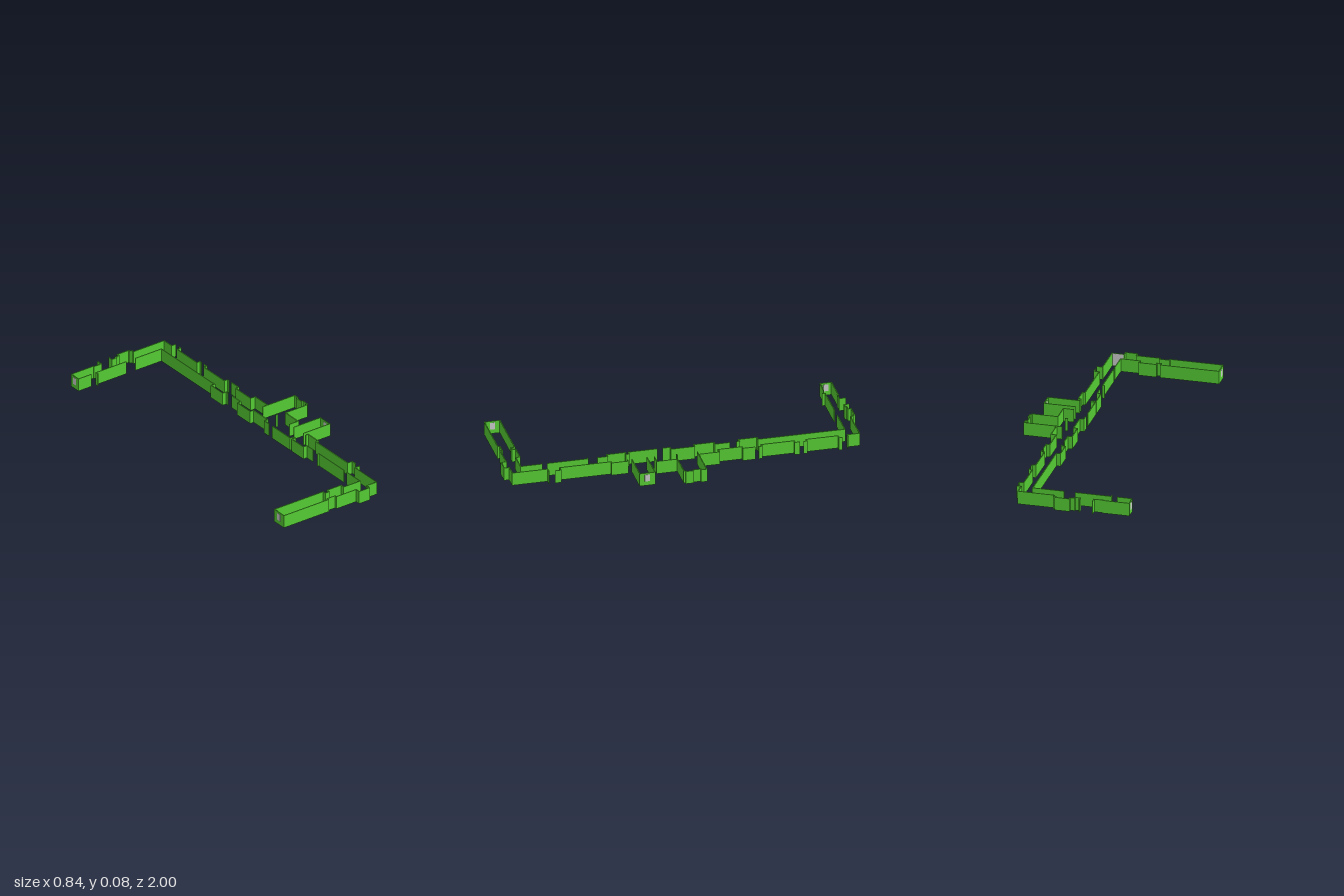
import * as THREE from 'three';
import { mergeGeometries } from 'three/addons/utils/BufferGeometryUtils.js';

const H = 0.075; // wall height
const T = 0.005; // wall thickness

// Upright slab that follows a plan path of [x, z] corners
function wall(name, path, material) {
  const slabs = [];
  for (let i = 1; i < path.length; i++) {
    const [x0, z0] = path[i - 1], [x1, z1] = path[i];
    const slab = new THREE.BoxGeometry(Math.abs(x1 - x0) + T, H, Math.abs(z1 - z0) + T);
    slab.translate((x0 + x1) / 2, H / 2, (z0 + z1) / 2);
    slabs.push(slab);
  }
  const mesh = new THREE.Mesh(mergeGeometries(slabs), material);
  mesh.name = name;
  return mesh;
}

export function createModel() {
  const group = new THREE.Group();
  group.name = 'corridorWalls';
  const green = new THREE.MeshStandardMaterial({ color: 0x55cc33 });
  const grey = new THREE.MeshStandardMaterial({ color: 0xcccccc });

  // Wall runs, broken at the door openings
  const runs = {
    // back wing
    backWingEnd: [[-0.22, -0.9975], [-0.22, -0.965], [-0.27, -0.965], [-0.27, -0.97], [-0.418, -0.97],
      [-0.418, -0.905], [-0.335, -0.905]],
    backWingInner: [[-0.3, -0.89], [-0.3, -0.905], [-0.1, -0.905]],
    backWingOuter: [[0.23, -0.9], [0.205, -0.9], [0.205, -0.97], [0, -0.97], [0, -0.985], [-0.012, -0.985],
      [-0.012, -0.9975], [-0.09, -0.9975], [-0.09, -0.98], [-0.115, -0.98], [-0.115, -0.97],
      [-0.145, -0.97], [-0.145, -0.9975]],
    // long corridor, inner side
    innerWallBack: [[-0.035, -0.905], [0.14, -0.905], [0.14, -0.42], [0.117, -0.42], [0.117, -0.315],
      [0.14, -0.315], [0.14, -0.3]],
    innerWallMiddle: [[0.14, -0.26], [0.14, -0.18], [0.117, -0.18], [0.117, -0.065], [0.14, -0.065],
      [0.14, 0.065], [0.117, 0.065], [0.117, 0.105]],
    innerWallNiches: [[0.117, 0.14], [0.117, 0.3], [0.14, 0.3], [0.14, 0.315], [0.117, 0.315],
      [0.117, 0.42], [0.14, 0.42], [0.14, 0.475]],
    innerWallFront: [[0.13, 0.53], [0.14, 0.53], [0.14, 0.755]],
    // front wing, all the way round
    frontWing: [[0.14, 0.785], [0.14, 0.905], [0.03, 0.905], [0.03, 0.88], [-0.065, 0.88], [-0.065, 0.9],
      [-0.09, 0.9], [-0.09, 0.88], [-0.418, 0.88], [-0.418, 0.967], [-0.12, 0.967], [-0.12, 0.955],
      [-0.065, 0.955], [-0.065, 0.967], [0.068, 0.967], [0.068, 0.995], [0.137, 0.995], [0.137, 0.967],
      [0.205, 0.967], [0.205, 0.77], [0.235, 0.77]],
    // long corridor, outer side
    outerWallFront: [[0.235, 0.735], [0.235, 0.705], [0.205, 0.705], [0.205, 0.415], [0.22, 0.415],
      [0.22, 0.325], [0.205, 0.325]],
    smallRoom: [[0.205, 0.215], [0.382, 0.215], [0.382, 0.3], [0.205, 0.3]],
    largeRoom: [[0.205, 0.175], [0.262, 0.175], [0.262, 0.06], [0.406, 0.06], [0.406, 0.05], [0.416, 0.05],
      [0.416, 0.01], [0.406, 0.01], [0.406, -0.035], [0.416, -0.035], [0.416, -0.065], [0.205, -0.065]],
    doorPost: [[0.205, 0.05], [0.215, 0.05]],
    outerWallMiddle: [[0.235, -0.065], [0.235, -0.18], [0.205, -0.18], [0.205, -0.315], [0.225, -0.315],
      [0.225, -0.38]],
    outerWallBack: [[0.225, -0.405], [0.225, -0.42], [0.205, -0.42], [0.205, -0.605], [0.225, -0.605],
      [0.225, -0.63]],
    outerWallCorner: [[0.225, -0.655], [0.225, -0.67], [0.205, -0.67], [0.205, -0.85], [0.23, -0.85],
      [0.23, -0.865]],
  };
  for (const [name, path] of Object.entries(runs)) group.add(wall(name, path, green));

  // Small grey windows in the end walls
  for (const [x, z] of [[0.382, 0.26], [-0.418, -0.937], [-0.418, 0.923]]) {
    const window = new THREE.Mesh(new THREE.BoxGeometry(T + 0.002, 0.04, 0.028), grey);
    window.name = 'endWindow';
    window.position.set(x, 0.045, z);
    group.add(window);
  }

  // Grey panel lining the inside of the front corner
  const panel = new THREE.Mesh(new THREE.BoxGeometry(0.063, H - 0.004, 0.001), grey);
  panel.name = 'cornerPanel';
  panel.position.set(0.171, H / 2, 0.964);
  group.add(panel);

  return group;
}
